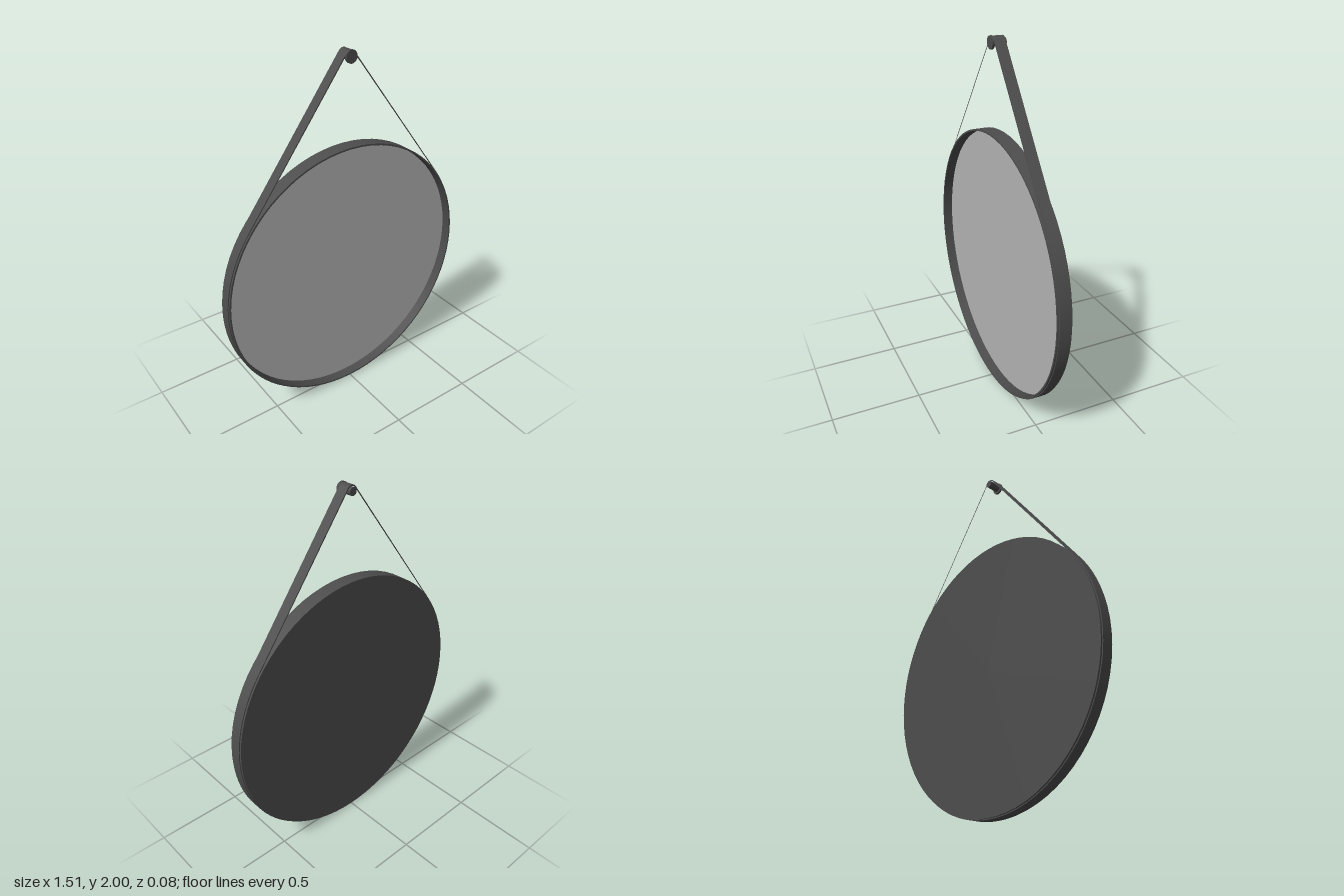
import * as THREE from 'three';
import { toCreasedNormals } from 'three/addons/utils/BufferGeometryUtils.js';

const DISC_Y = 0.757, PEG_Y = 1.967;

// Points of a loop pulled tight around the disc and the peg
function loopPoints(discR, pegR) {
  const a = Math.acos((discR - pegR) / (PEG_Y - DISC_Y)); // tangent angle from vertical
  const pts = [];
  const arc = (y, r, from, to, n) => {
    for (let i = 0; i <= n; i++) {
      const t = from + (to - from) * i / n;
      pts.push(new THREE.Vector2(r * Math.sin(t), y + r * Math.cos(t)));
    }
  };
  arc(DISC_Y, discR, a, 2 * Math.PI - a, 72);
  arc(PEG_Y, pegR, -a, a, 12);
  return pts;
}

export function createModel() {
  const group = new THREE.Group();
  const dark = new THREE.MeshStandardMaterial({ color: 0x4d4d4d });
  dark.name = 'darkGrey';
  const silver = new THREE.MeshStandardMaterial({ color: 0xb4b4b4 });
  silver.name = 'mirrorSilver';

  const add = (name, geometry, material, y, z = 0) => {
    const mesh = new THREE.Mesh(geometry, material);
    mesh.name = name;
    mesh.position.set(0, y, z);
    group.add(mesh);
  };

  // Round tray frame: closed back, outer wall, front lip and inner wall
  const profile = [[0, -0.04], [0.752, -0.04], [0.752, 0.04], [0.743, 0.04], [0.743, -0.02]]
    .map(([r, y]) => new THREE.Vector2(r, y));
  const frame = new THREE.LatheGeometry(profile, 72).rotateX(Math.PI / 2);
  add('frame', toCreasedNormals(frame, 0.6), dark, DISC_Y);

  // Mirror glass, recessed in the frame
  add('mirror', new THREE.CircleGeometry(0.744, 72), silver, DISC_Y, -0.015);

  // Strap around the frame and over the peg
  const shape = new THREE.Shape(loopPoints(0.757, 0.031));
  shape.holes.push(new THREE.Path(loopPoints(0.7515, 0.0245)));
  const strap = new THREE.ExtrudeGeometry(shape, { depth: 0.06, bevelEnabled: false });
  strap.translate(0, 0, -0.03);
  add('strap', toCreasedNormals(strap, 0.6), dark, 0);

  // Wall peg with a wider head at the front
  const disc = (r, d) => new THREE.CylinderGeometry(r, r, d, 32).rotateX(Math.PI / 2);
  add('pegShaft', disc(0.021, 0.076), dark, PEG_Y, -0.002);
  add('pegHead', disc(0.033, 0.012), dark, PEG_Y, 0.035);

  return group;
}
